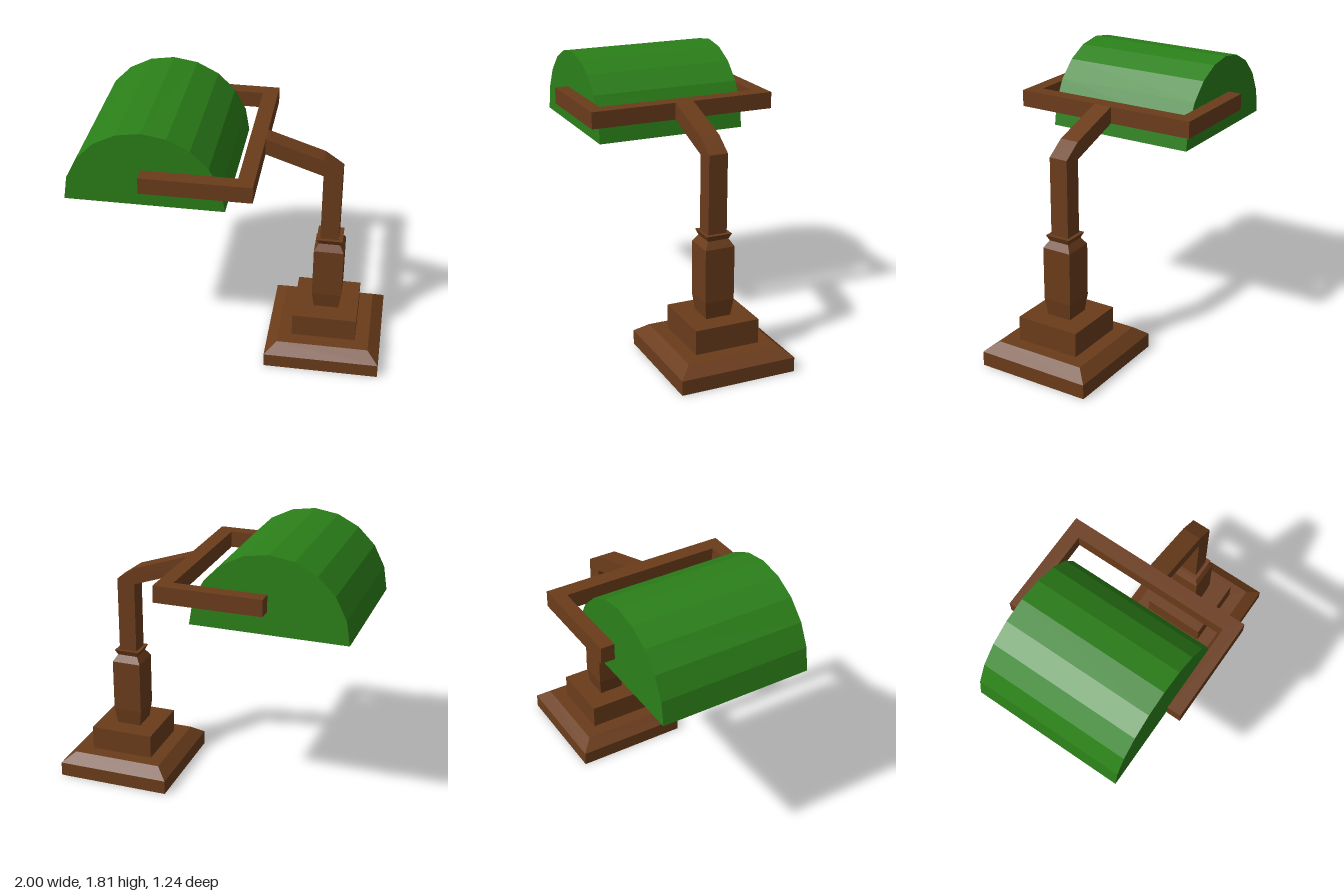
import * as THREE from 'three';

const wood = new THREE.MeshStandardMaterial({ color: 0x6b3c1b, flatShading: true });
const green = new THREE.MeshStandardMaterial({ color: 0x2b8019, flatShading: true });

function add(parent, name, geometry, material, x = 0, y = 0, z = 0) {
  const mesh = new THREE.Mesh(geometry, material);
  mesh.name = name;
  mesh.position.set(x, y, z);
  parent.add(mesh);
  return mesh;
}

// Square turned solid from [half width, height] pairs
function squareLathe(profile) {
  const points = profile.map(([h, y]) => new THREE.Vector2(h * Math.SQRT2, y));
  return new THREE.LatheGeometry(points, 4, Math.PI / 4);
}

// Outline extruded by depth
function slab(outline, depth) {
  const shape = new THREE.Shape(outline.map(([x, y]) => new THREE.Vector2(x, y)));
  return new THREE.ExtrudeGeometry(shape, { depth, bevelEnabled: false });
}

export function createModel() {
  const lamp = new THREE.Group();
  lamp.name = 'deskLamp';
  const postX = 0.618;

  // Stepped base
  add(lamp, 'base', squareLathe([
    [0, 0], [0.382, 0], [0.382, 0.095], [0.305, 0.157], [0, 0.157],
  ]), wood, postX);
  add(lamp, 'plinth', new THREE.BoxGeometry(0.428, 0.16, 0.428), wood, postX, 0.237);

  // Tapered pillar with flared collar
  add(lamp, 'pillar', squareLathe([
    [0.082, 0.31], [0.098, 0.43], [0.098, 0.78], [0.069, 0.826], [0.085, 0.862], [0, 0.862],
  ]), wood, postX);

  // Upright post bending into the sloping neck
  add(lamp, 'neck', slab([
    [0.556, 0.84], [0.676, 0.84], [0.676, 1.369], [0.556, 1.454],
    [0.187, 1.577], [0.15, 1.577], [0.15, 1.469], [0.187, 1.469], [0.556, 1.343],
  ], 0.124), wood, 0, 0, -0.062);

  // U-shaped fork holding the shade
  const fork = slab([
    [-0.502, -0.62], [0.187, -0.62], [0.187, 0.62], [-0.502, 0.62],
    [-0.502, 0.53], [0.087, 0.53], [0.087, -0.53], [-0.502, -0.53],
  ], 0.108).rotateX(Math.PI / 2);
  add(lamp, 'fork', fork, wood, 0, 1.577);

  // Half-barrel shade with closed ends and a tapered recess beneath
  const shade = new THREE.Group();
  shade.name = 'shade';
  shade.position.set(-0.499, 1.309, 0);
  lamp.add(shade);
  const barrel = new THREE.CylinderGeometry(0.501, 0.501, 1.002, 10, 1, true, Math.PI / 2, Math.PI);
  add(shade, 'shadeBarrel', barrel.rotateX(Math.PI / 2), green);
  for (const [name, side] of [['shadeFrontEnd', 1], ['shadeBackEnd', -1]]) {
    const end = add(shade, name, new THREE.CircleGeometry(0.501, 10, 0, Math.PI), green, 0, 0, side * 0.501);
    if (side < 0) end.rotation.y = Math.PI;
  }
  add(shade, 'shadeRecess', squareLathe([[0, 0.385], [0.26, 0.385], [0.501, 0]]), green);

  return lamp;
}
